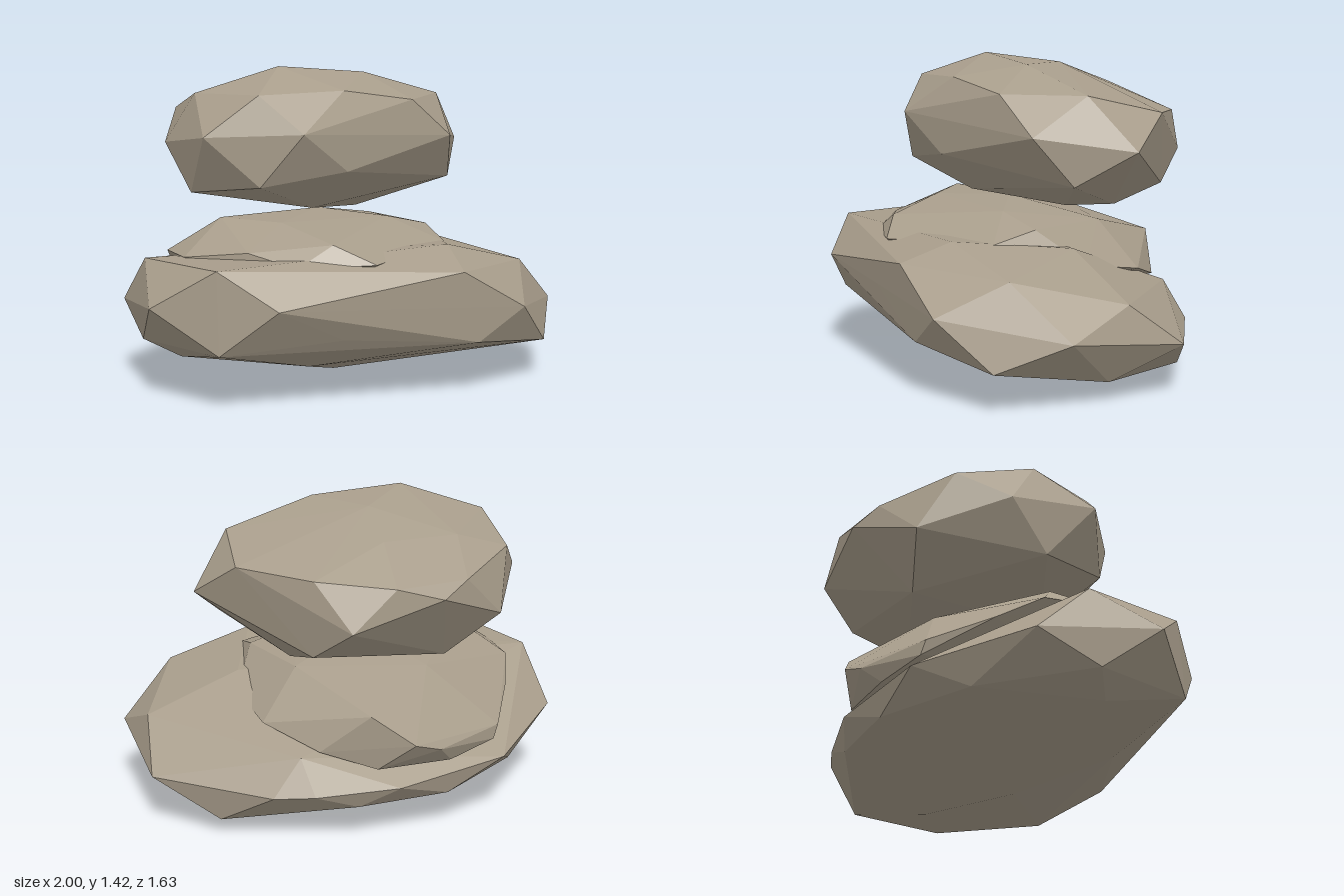
import * as THREE from 'three';
import { ConvexGeometry } from 'three/addons/geometries/ConvexGeometry.js';

const stoneGrey = new THREE.MeshStandardMaterial({ color: 0xa89d8b });
stoneGrey.name = 'warm stone grey';

// A faceted stone: the convex skin around a few rings of corner points.
function stone(name, rings) {
  const corners = rings.flat().map((p) => new THREE.Vector3(...p));
  const geometry = new ConvexGeometry(corners);
  const mesh = new THREE.Mesh(geometry, stoneGrey);
  mesh.name = name;
  return mesh;
}

export function createModel() {
  const group = new THREE.Group();
  group.name = 'stackedStones';

  // Wide base stone, tilted up towards the front and its right
  group.add(stone('bottomStone', [
    // underside
    [[0.25, 0, -0.31], [-0.04, 0.01, 0.06], [0.8, 0.09, -0.22], [0.5, 0.07, -0.63],
      [-0.2, 0.14, 0.48], [-0.75, 0.17, 0.35], [-0.1, 0.155, -0.69], [-0.49, 0.165, -0.55],
      [-0.79, 0.19, -0.2]],
    // rim
    [[1, 0.31, -0.01], [0.9, 0.18, 0.3], [0.75, 0.39, 0.52], [0.54, 0.245, 0.56],
      [0.19, 0.43, 0.67], [-0.07, 0.305, 0.68], [-0.355, 0.465, 0.815], [-0.6, 0.26, 0.72],
      [-0.885, 0.44, 0.575], [-0.915, 0.245, 0.31], [-1, 0.37, 0.04], [-0.745, 0.29, -0.44],
      [-0.28, 0.245, -0.7], [0.085, 0.22, -0.75], [0.265, 0.215, -0.75], [0.805, 0.235, -0.55]],
    // upper edge
    [[0.85, 0.43, -0.29], [0.8, 0.54, 0.21], [0.46, 0.57, 0.61], [-0.605, 0.62, 0.7],
      [-0.9, 0.6, 0.27], [0.43, 0.65, 0.38], [0.45, 0.6, -0.16], [0.15, 0.375, -0.68]],
  ]));

  // Thin stone sunk into the base
  group.add(stone('middleStone', [
    // underside
    [[-0.2, 0.32, 0], [-0.18, 0.32, -0.67], [0.07, 0.39, -0.65], [-0.5, 0.32, -0.55],
      [-0.7, 0.36, -0.4], [0.2, 0.37, -0.2], [-0.1, 0.43, 0.42], [-0.55, 0.4, 0.2]],
    // rim
    [[-0.26, 0.6, 0.6], [0.08, 0.61, 0.61], [0.45, 0.63, 0.2], [0.45, 0.52, -0.22],
      [0.32, 0.47, -0.5], [-0.15, 0.565, -0.69], [-0.34, 0.44, -0.705], [-0.45, 0.4, -0.64],
      [-0.72, 0.42, -0.38], [-0.78, 0.51, -0.1], [-0.8, 0.6, 0.1], [-0.73, 0.61, 0.33],
      [-0.46, 0.65, 0.48]],
    // crown
    [[-0.1, 0.69, 0.55], [0.4, 0.68, 0], [0.2, 0.735, 0.1], [-0.3, 0.75, 0.31],
      [-0.56, 0.755, 0.16], [-0.1, 0.765, 0], [0.18, 0.68, -0.35], [-0.4, 0.68, -0.33]],
  ]));

  // Plump top stone
  group.add(stone('topStone', [
    // underside
    [[0.2, 0.75, -0.42], [0.1, 0.735, -0.22], [-0.47, 0.765, -0.43], [-0.15, 0.79, 0.17],
      [-0.69, 0.865, 0.13], [-0.71, 0.95, -0.43], [0.095, 0.825, -0.68]],
    // lower rim
    [[-0.4, 0.92, 0.41], [-0.01, 0.975, 0.34], [0.53, 0.88, -0.14], [0.615, 1.035, -0.4],
      [-0.07, 0.965, -0.82], [-0.8, 1.075, -0.03]],
    // upper rim
    [[-0.215, 1.155, 0.475], [0.505, 1.095, 0.04], [0.42, 1.185, -0.57], [0.09, 1.165, -0.73],
      [-0.25, 1.14, -0.76], [-0.45, 1.08, -0.7], [-0.55, 1.14, -0.59], [-0.745, 1.21, -0.27],
      [-0.64, 1.135, 0.355]],
    // crown
    [[-0.4, 1.315, 0.36], [-0.02, 1.325, 0.28], [0.31, 1.27, 0.14], [0.485, 1.27, -0.21],
      [0.11, 1.385, -0.03], [-0.29, 1.42, 0.07], [-0.665, 1.305, 0.08], [-0.14, 1.38, -0.25],
      [-0.2, 1.28, -0.51], [-0.52, 1.28, -0.36]],
  ]));

  return group;
}
